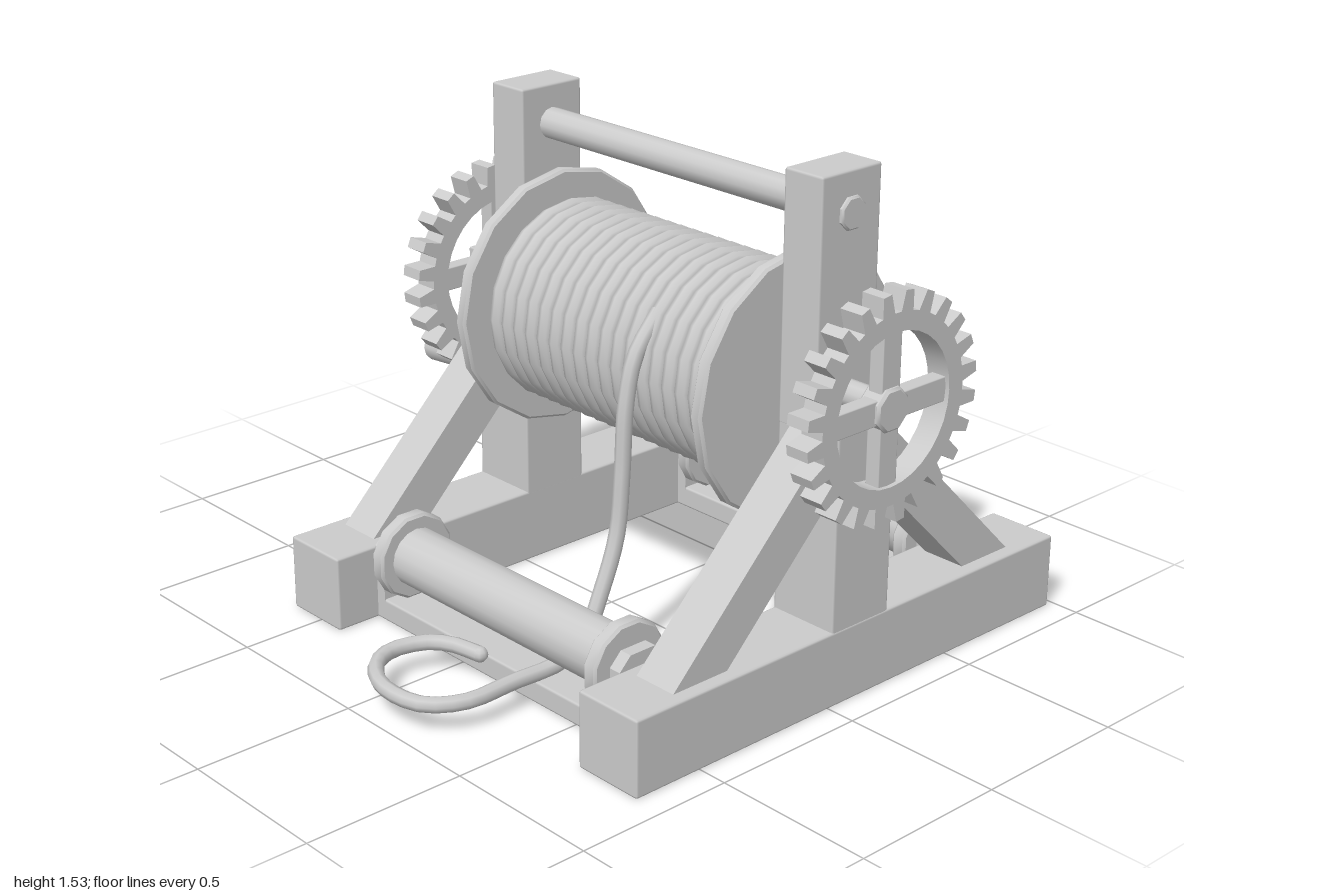
import * as THREE from 'three';
import { RoundedBoxGeometry } from 'three/addons/geometries/RoundedBoxGeometry.js';
import { toCreasedNormals } from 'three/addons/utils/BufferGeometryUtils.js';

const CX = 0.14;  // middle of the frame in x
const CZ = -0.12; // middle of the frame in z
const AXLE_Y = 0.9;
const DRUM_Y = 0.88;
const mat = new THREE.MeshStandardMaterial({ color: 0xcccccc });

export function createModel() {
  const root = new THREE.Group();
  root.name = 'ropeWinch';

  const add = (name, geo, parent = root) => {
    const m = new THREE.Mesh(geo, mat);
    m.name = name;
    parent.add(m);
    return m;
  };
  // box from its limits on each axis
  const box = (name, x0, x1, y0, y1, z0, z1, bevel = 0.008) => {
    const g = new RoundedBoxGeometry(x1 - x0, y1 - y0, z1 - z0, 1, bevel);
    add(name, g).position.set((x0 + x1) / 2, (y0 + y1) / 2, (z0 + z1) / 2);
  };
  // turned part along x, profile given as [radius, x] with x rising
  const turned = (name, profile, y, z, sides = 16, turn = 0) => {
    const g = new THREE.LatheGeometry(profile.map(([r, x]) => new THREE.Vector2(r, x)), sides);
    g.rotateY(turn);
    g.rotateZ(-Math.PI / 2);
    add(name, toCreasedNormals(g, 0.6)).position.set(0, y, z);
  };
  const rod = (name, x0, x1, r, y, z, sides = 16, turn = 0) => {
    const b = Math.min(0.008, (x1 - x0) / 4);
    turned(name, [[0, x0], [r - b, x0], [r, x0 + b], [r, x1 - b], [r - b, x1], [0, x1]], y, z, sides, turn);
  };
  // flat outline in (z, y) given thickness from x0 to x1
  const slab = (name, shape, x0, x1, y, z) => {
    const g = new THREE.ExtrudeGeometry(shape, { depth: x1 - x0, bevelEnabled: false, curveSegments: 16 });
    g.rotateY(-Math.PI / 2);
    add(name, toCreasedNormals(g, 0.5)).position.set(x1, y, z);
  };

  // side frames: rail, stepped post, two diagonal braces
  for (const s of [-1, 1]) {
    const span = (a, b) => [CX + s * a, CX + s * b].sort((p, q) => p - q);
    box('baseRail', ...span(0.54, 0.77), 0, 0.235, CZ - 0.855, CZ + 0.855);
    box('lowerPost', ...span(0.54, 0.768), 0.22, 0.84, CZ - 0.115, CZ + 0.115);
    box('upperPost', ...span(0.54, 0.68), 0.8, 1.535, CZ - 0.116, CZ + 0.116);
    for (const d of [-1, 1]) {
      const pts = [[0.69, 0.23], [0.49, 0.23], [0.09, 0.63], [0.09, 0.83]];
      const shape = new THREE.Shape(pts.map(([z, y]) => new THREE.Vector2(z * d, y)));
      slab('diagonalBrace', shape, ...span(0.585, 0.728), 0, CZ);
    }
  }

  // cross plates with brackets and guide rollers, front and back
  for (const d of [-1, 1]) {
    const z = CZ + d * 0.625;
    box('crossPlate', -0.41, 0.69, 0, 0.07, z - 0.085, z + 0.085);
    for (const x0 of [-0.405, 0.645]) {
      const outline = [[-0.085, 0.03], [0.085, 0.03], [0.085, 0.235], [0.045, 0.275], [-0.045, 0.275], [-0.085, 0.235]];
      const shape = new THREE.Shape(outline.map(p => new THREE.Vector2(...p)));
      slab('rollerBracket', shape, x0, x0 + 0.04, 0, z);
    }
    rod('guideRoller', -0.33, 0.61, 0.09, 0.207, z);
    rod('rollerPin', -0.4, 0.68, 0.04, 0.207, z, 10);
    for (const x of [-0.36, 0.585]) rod('rollerFlange', x, x + 0.05, 0.135, 0.207, z, 12, Math.PI / 12);
  }

  // tie bar with end pegs
  rod('tieBar', -0.5, 0.78, 0.048, 1.415, CZ, 12);
  for (const x of [-0.552, 0.81]) rod('tieBarPeg', x, x + 0.022, 0.05, 1.415, CZ, 8, Math.PI / 8);

  // drum
  rod('drumCore', -0.36, 0.64, 0.275, DRUM_Y, CZ, 20);
  for (const x of [-0.385, 0.62]) rod('drumFlange', x, x + 0.042, 0.4, DRUM_Y, CZ, 16);
  const coils = new THREE.Group();
  coils.name = 'ropeCoils';
  root.add(coils);
  const coilGeo = new THREE.TorusGeometry(0.29, 0.0275, 8, 20).rotateY(Math.PI / 2);
  for (let i = 0; i < 18; i++) {
    add('ropeCoil', coilGeo, coils).position.set(-0.312 + i * 0.0532, DRUM_Y, CZ);
  }

  // loose rope: down from the drum, under the roller, ending in an open loop
  const path = [
    [0.32, 1.06, 0.11], [0.32, 0.95, 0.2], [0.32, 0.82, 0.235], [0.32, 0.6, 0.25], [0.32, 0.42, 0.27],
    [0.32, 0.26, 0.33], [0.32, 0.13, 0.4], [0.32, 0.09, 0.49], [0.32, 0.09, 0.66], [0.32, 0.09, 0.83],
    [0.26, 0.09, 0.925], [0.16, 0.09, 0.952], [0.06, 0.09, 0.935], [-0.03, 0.09, 0.87],
    [-0.06, 0.09, 0.79], [-0.03, 0.09, 0.69], [0.03, 0.09, 0.645], [0.13, 0.09, 0.625],
  ].map(p => new THREE.Vector3(...p));
  const curve = new THREE.CatmullRomCurve3(path);
  add('looseRope', new THREE.TubeGeometry(curve, 50, 0.024, 8));
  // closed end of the rope
  add('ropeEnd', new THREE.SphereGeometry(0.024, 8, 6)).position.copy(path[path.length - 1]);

  // axle and spoked gears
  rod('axle', -0.75, 0.985, 0.042, AXLE_Y, CZ, 12);
  const teeth = 24;
  const gear = new THREE.Shape();
  const profile = [[-0.36, 0.28], [-0.2, 0.338], [0.2, 0.338], [0.36, 0.28]];
  const gearPoints = [];
  for (let i = 0; i < teeth; i++) {
    for (const [t, r] of profile) {
      const a = ((i + 0.5 + t * 0.9) / teeth) * Math.PI * 2;
      gearPoints.push(new THREE.Vector2(Math.cos(a) * r, Math.sin(a) * r));
    }
  }
  gear.setFromPoints(gearPoints);
  gear.holes.push(new THREE.Path().absarc(0, 0, 0.225, 0, Math.PI * 2, true));
  for (const x of [-0.715, 0.923]) {
    slab('gearRim', gear, x, x + 0.077, AXLE_Y, CZ);
    box('gearSpoke', x + 0.014, x + 0.063, AXLE_Y - 0.24, AXLE_Y + 0.24, CZ - 0.037, CZ + 0.037, 0.004);
    box('gearSpoke', x + 0.014, x + 0.063, AXLE_Y - 0.037, AXLE_Y + 0.037, CZ - 0.24, CZ + 0.24, 0.004);
    rod('gearHub', x, x + 0.077, 0.067, AXLE_Y, CZ, 8, Math.PI / 8);
  }

  // hand crank
  box('crankArm', -0.76, -0.735, 0.5, 0.945, CZ - 0.042, CZ + 0.042, 0.006);
  turned('crankHandle', [[0, -1], [0.046, -1], [0.055, -0.99], [0.048, -0.9], [0.036, -0.8], [0.036, -0.745], [0, -0.745]], 0.543, CZ, 12);

  return root;
}
